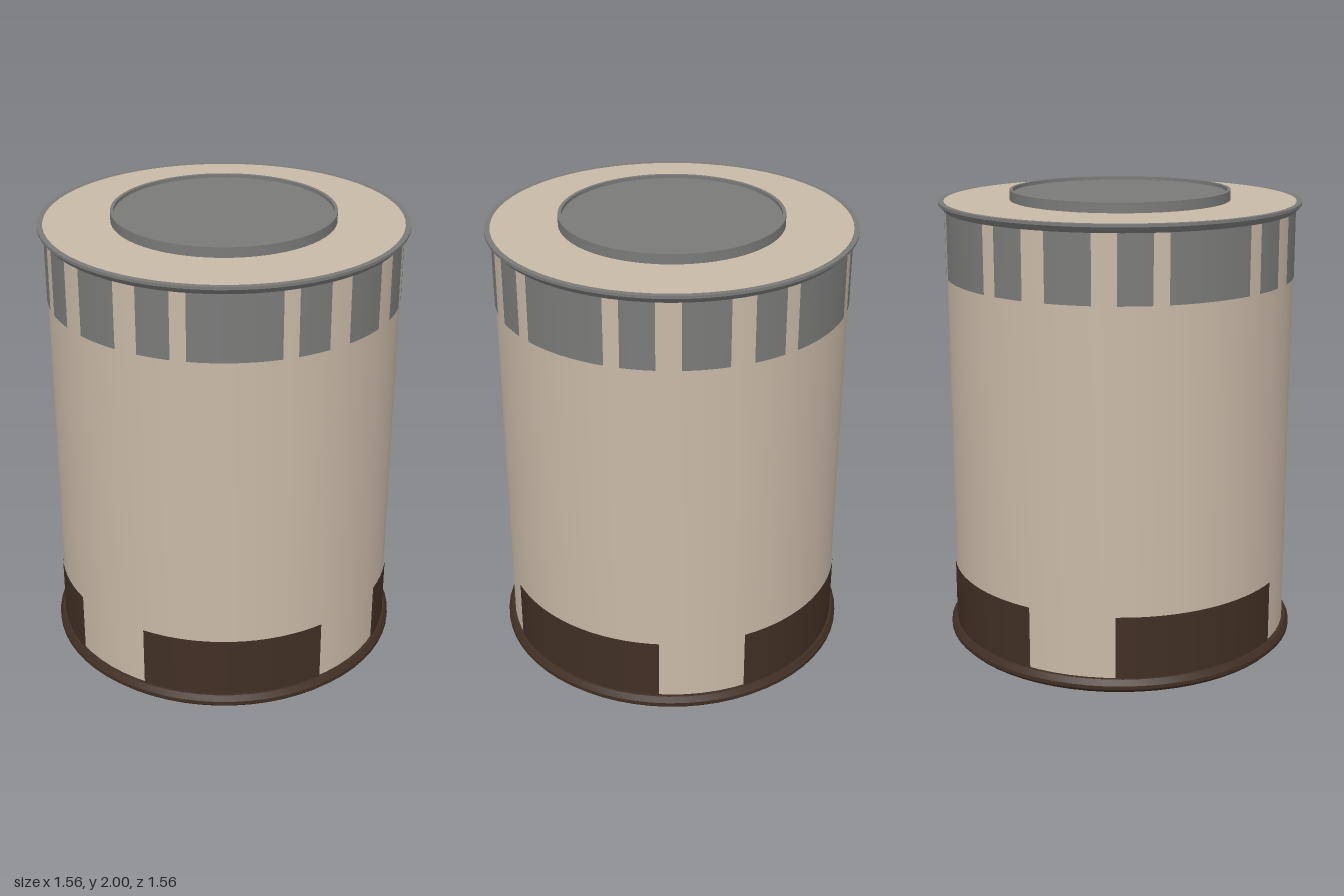
import * as THREE from 'three';
import { toCreasedNormals } from 'three/addons/utils/BufferGeometryUtils.js';

const SEGMENTS = 64;
const BODY_RADIUS = 0.75;

export function createModel() {
  const model = new THREE.Group();
  model.name = 'canister';

  const material = (name, color) => {
    const m = new THREE.MeshStandardMaterial({ color });
    m.name = name;
    return m;
  };
  const tan = material('tan', 0xc8b9a7);
  const grey = material('grey', 0x7a7b79);
  const brown = material('darkBrown', 0x412f24);

  const add = (name, geometry, mat, parent = model) => {
    const mesh = new THREE.Mesh(geometry, mat);
    mesh.name = name;
    parent.add(mesh);
    return mesh;
  };

  // Turned part from a [radius, height] profile, with sharp profile corners
  const turned = (name, profile, mat) => {
    const points = profile.map(([r, y]) => new THREE.Vector2(r, y));
    return add(name, toCreasedNormals(new THREE.LatheGeometry(points, SEGMENTS), 0.35), mat);
  };

  // Base with bevelled foot ring
  turned('base', [[0, 0], [0.762, 0], [0.78, 0.018], [0.78, 0.034], [0.765, 0.058], [0.74, 0.058]], brown);

  // Main drum wall and its top plate
  turned('drumWall', [[BODY_RADIUS, 0.05], [BODY_RADIUS, 1.93]], tan);
  turned('topPlate', [[0.757, 1.957], [0.46, 1.957]], tan);

  // Flared top rim
  turned('topRim', [[0.74, 1.92], [0.757, 1.92], [0.78, 1.945], [0.78, 1.957], [0.757, 1.957]], grey);

  // Lid with a narrow lip around a shallow recess
  turned('lid', [[0.475, 1.95], [0.475, 2], [0.461, 2], [0.461, 1.985], [0, 1.985]], grey);

  // Curved painted panels on the wall; the pattern repeats every quarter turn
  const upperPanels = new THREE.Group();
  upperPanels.name = 'upperPanels';
  const lowerPanels = new THREE.Group();
  lowerPanels.name = 'lowerPanels';
  model.add(upperPanels, lowerPanels);

  const panel = (name, from, to, bottom, top, mat, parent) => {
    const r = BODY_RADIUS + 0.005;
    const geometry = new THREE.CylinderGeometry(
      r, r, top - bottom, 16, 1, true,
      THREE.MathUtils.degToRad(from), THREE.MathUtils.degToRad(to - from));
    geometry.translate(0, (top + bottom) / 2, 0);
    add(name, geometry, mat, parent);
  };

  const upperSpans = [[-7.3, 7.3], [15, 25.7], [30.7, 59.3], [64.3, 75]];
  for (let quarter = 0; quarter < 4; quarter++) {
    const turn = quarter * 90;
    for (const [from, to] of upperSpans) {
      panel('upperPanel', turn + from, turn + to, 1.635, 1.925, grey, upperPanels);
    }
    panel('lowerPanel', turn + 14.4, turn + 75.6, 0.05, 0.333, brown, lowerPanels);
  }

  return model;
}
